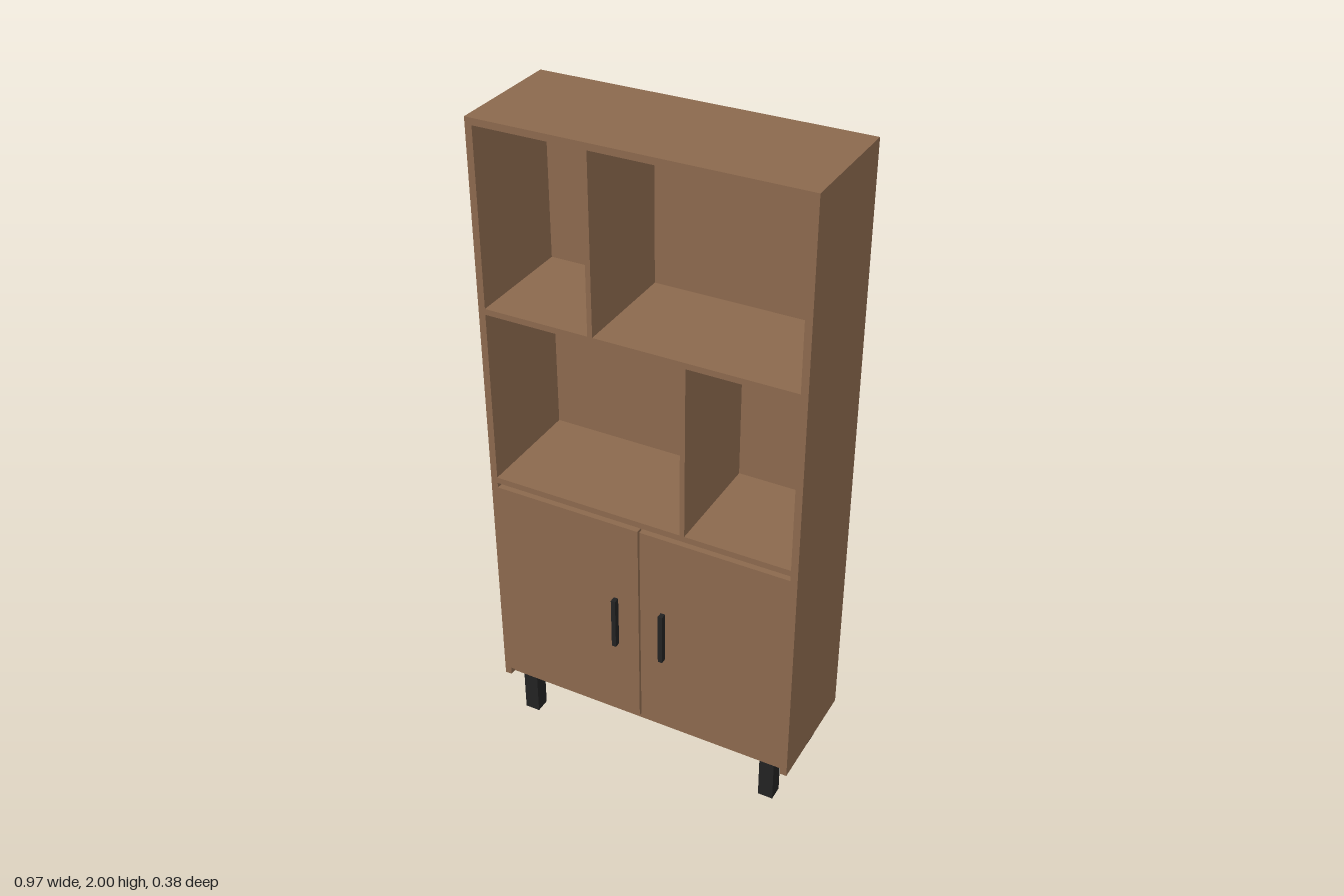
import * as THREE from 'three';

export function createModel() {
  const group = new THREE.Group();
  const wood = new THREE.MeshStandardMaterial({ color: 0x8c694e });
  wood.name = 'brown wood';
  const black = new THREE.MeshStandardMaterial({ color: 0x222222 });
  black.name = 'black metal';

  // Box given by its extents along each axis
  function box(name, material, [x0, x1], [y0, y1], [z0, z1]) {
    const mesh = new THREE.Mesh(new THREE.BoxGeometry(x1 - x0, y1 - y0, z1 - z0), material);
    mesh.position.set((x0 + x1) / 2, (y0 + y1) / 2, (z0 + z1) / 2);
    mesh.name = name;
    group.add(mesh);
  }
  const mirror = ([a, b], side) => (side > 0 ? [a, b] : [-b, -a]);

  const outer = 0.486, inner = 0.465;
  const bottom = 0.143, top = 2;
  const front = 0.173, rear = -0.193, backFace = -0.174;
  const width = [-inner, inner], depth = [rear, front];

  // Carcass: the base sits behind the doors
  box('topPanel', wood, width, [1.98, top], depth);
  box('upperShelf', wood, width, [1.437, 1.455], depth);
  box('lowerShelf', wood, width, [0.881, 0.9], depth);
  box('basePanel', wood, width, [bottom, 0.165], [rear, front - 0.02]);

  // Back panels, slightly inset between the shelves
  for (const y of [[0.165, 0.881], [0.9, 1.437], [1.455, 1.98]]) {
    box('backPanel', wood, width, y, [rear + 0.006, backFace]);
  }

  // Staggered dividers
  box('upperDivider', wood, [-0.146, -0.131], [1.455, 1.98], [backFace, front]);
  box('lowerDivider', wood, [0.129, 0.144], [0.9, 1.437], [backFace, front]);

  for (const side of [-1, 1]) {
    const label = side > 0 ? 'left' : 'right';
    box(label + 'SidePanel', wood, mirror([inner, outer], side), [bottom, top], depth);
    box(label + 'Door', wood, mirror([0.003, inner], side), [0.169, 0.865], [front - 0.02, front]);
    box(label + 'Handle', black, mirror([0.07, 0.084], side), [0.43, 0.6], [front, 0.192]);
    // Square legs
    box(label + 'FrontLeg', black, mirror([0.387, 0.434], side), [0, bottom], [0.1, 0.147]);
    box(label + 'BackLeg', black, mirror([0.387, 0.434], side), [0, bottom], [-0.164, -0.117]);
  }
  return group;
}
